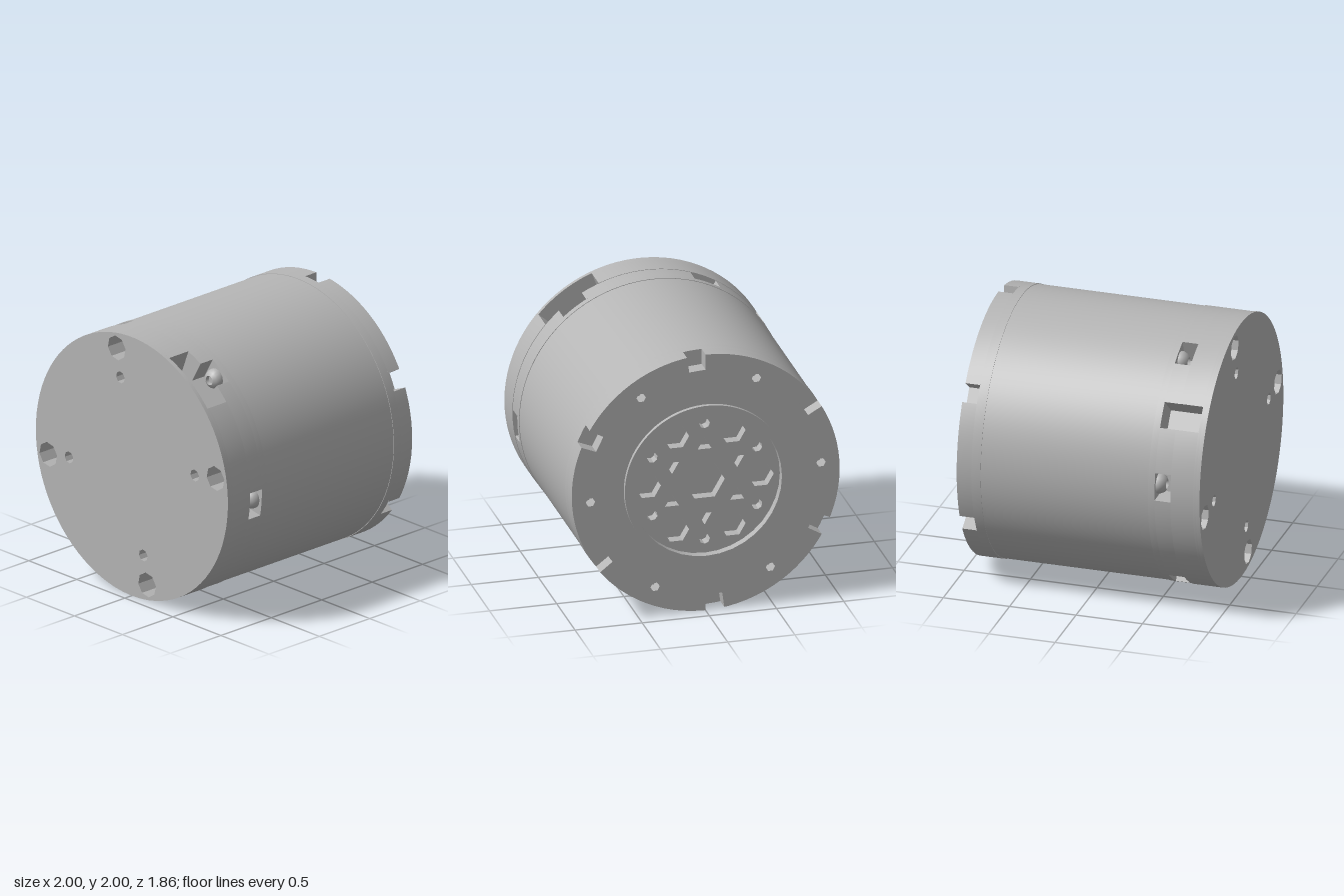
import * as THREE from 'three';
import { toCreasedNormals } from 'three/addons/utils/BufferGeometryUtils.js';

const rad = THREE.MathUtils.degToRad;
const polar = (deg, r) => new THREE.Vector2(r * Math.cos(rad(deg)), r * Math.sin(rad(deg)));
// Equally spaced angles round the axis
const around = (start, n) => Array.from({ length: n }, (_, i) => start + (i * 360) / n);

// Circular outline with notches [centre angle, half angle, floor radius]
function disc(radius, notches = []) {
  const pts = [];
  for (let a = 20; a < 380; a += 4) {
    if (!notches.some(([c, h]) => Math.abs(a - c) <= h)) pts.push([a, radius]);
  }
  for (const [c, h, floor] of notches) {
    pts.push([c - h, radius], [c - h, floor], [c + h, floor], [c + h, radius]);
  }
  pts.sort((p, q) => p[0] - q[0]);
  return new THREE.Shape(pts.map(([a, r]) => polar(a, r)));
}

// Round or polygonal hole at a polar position
function addHole(shape, deg, dist, radius, sides = 8) {
  const c = polar(deg, dist);
  const pts = around(deg, sides).map((a) => polar(a, radius).add(c));
  shape.holes.push(new THREE.Path(pts));
}

export function createModel() {
  const model = new THREE.Group();
  const metal = new THREE.MeshStandardMaterial({ color: 0xb5b5b5 });
  metal.name = 'grey metal';

  const housing = new THREE.Group();
  housing.name = 'housing';
  housing.position.y = 1;
  model.add(housing);

  const add = (name, geometry) => {
    const mesh = new THREE.Mesh(geometry, metal);
    mesh.name = name;
    housing.add(mesh);
    return mesh;
  };
  // Slice of the housing between two depths
  const slice = (name, shape, z0, z1) => {
    const g = new THREE.ExtrudeGeometry(shape, { depth: z1 - z0, bevelEnabled: false, curveSegments: 24 });
    g.translate(0, 0, z0);
    return add(name, toCreasedNormals(g, rad(30)));
  };
  const frontHoles = (shape) => {
    for (const a of around(10.3, 4)) {
      addHole(shape, a, 0.885, 0.093);
      addHole(shape, a, 0.665, 0.045);
    }
    return shape;
  };

  // Front cap with bolt holes, cable pockets and screw pockets
  const socket = [144.5, 5.5, 0.8];
  const window = [55, 14, 0.8];
  const screwAngles = around(55, 6);
  const screwPockets = screwAngles.map((a) => [a, 6, 0.82]);
  slice('frontFace', frontHoles(disc(1)), 0.9, 0.93);
  slice('frontCapRim', frontHoles(disc(1, [window])), 0.88, 0.9);
  slice('frontCap', frontHoles(disc(1, [window, socket])), 0.71, 0.88);
  slice('screwBand', disc(0.997, [...screwPockets, socket]), 0.59, 0.71);
  slice('frontBand', disc(0.997), 0.54, 0.59);

  // Main barrel and rear plate
  slice('barrel', disc(0.993), -0.72, 0.54);
  slice('rearPlateBase', disc(0.997), -0.79, -0.72);
  const rear = disc(0.997, around(26, 6).map((a) => [a, 4, 0.88]));
  for (const a of around(56, 6)) addHole(rear, a, 0.86, 0.035, 6);
  addHole(rear, 0, 0, 0.56, 36);
  slice('rearPlate', rear, -0.9, -0.79);

  // Output hub: raised ring round a recessed, drilled face
  const ring = disc(0.61);
  addHole(ring, 0, 0, 0.56, 36);
  slice('hubRing', ring, -0.93, -0.9);
  const hub = disc(0.56);
  addHole(hub, 0, 0, 0.15, 6);
  for (const a of around(0, 6)) {
    addHole(hub, a, 0.42, 0.095, 6);
    addHole(hub, a + 30, 0.45, 0.04);
    addHole(hub, a + 30, 0.28, 0.06, 3);
  }
  slice('hubFace', hub, -0.87, -0.79);

  // Domed screw heads in the side pockets
  const dome = new THREE.LatheGeometry(
    [[0.075, 0], [0.075, 0.02], [0.06, 0.05], [0.035, 0.065], [0.03, 0.04], [0, 0.04]]
      .map(([x, y]) => new THREE.Vector2(x, y)), 16);
  dome.rotateX(Math.PI / 2);
  const domeGeometry = toCreasedNormals(dome, rad(40));
  for (const a of screwAngles) {
    const p = polar(a, 0.9);
    add('screwHead', domeGeometry).position.set(p.x, p.y, 0.59);
  }

  // Bolt heads sunk in the front holes
  const bolt = toCreasedNormals(new THREE.CylinderGeometry(0.045, 0.07, 0.08, 6).rotateX(Math.PI / 2), rad(20));
  for (const a of around(10.3, 4)) {
    const p = polar(a, 0.885);
    add('boltHead', bolt).position.set(p.x, p.y, 0.75);
  }
  return model;
}
